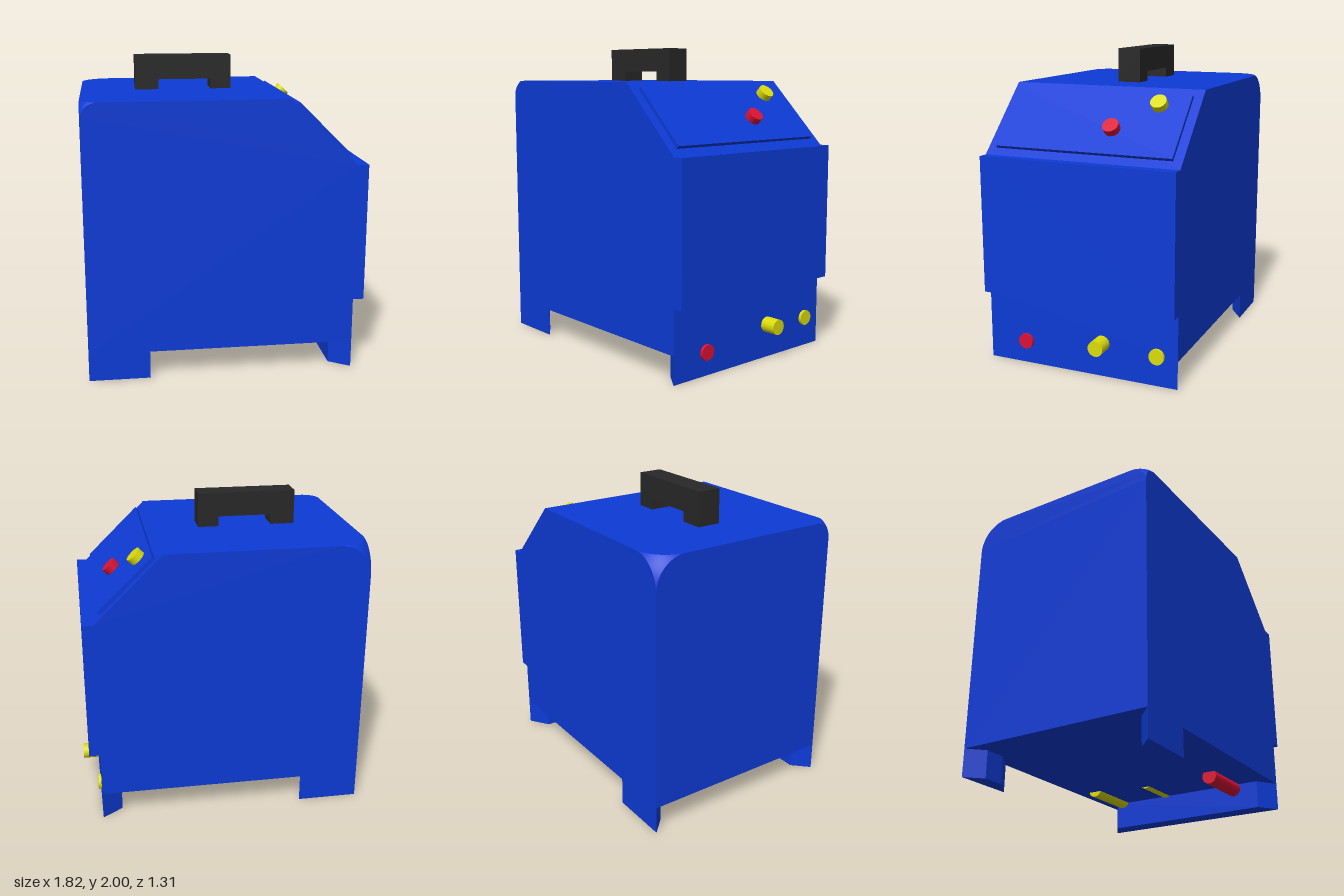
import * as THREE from 'three';
import { mergeGeometries } from 'three/addons/utils/BufferGeometryUtils.js';

const paint = (color) => new THREE.MeshStandardMaterial({ color });
const blue = paint(0x0d3bd6), red = paint(0xdc1234), yellow = paint(0xdcdc0c), black = paint(0x282828);

const LEFT = -0.91, TOP = 1.78, FLOOR = 0.18, HALF = 0.655;
const R_FRONT = 0.11, R_BACK = 0.2; // rounding of the two corners at the -x end
const V = (x, y, z) => new THREE.Vector3(x, y, z);
const X = V(1, 0, 0), Y = V(0, 1, 0), Z = V(0, 0, 1);

// Lower, right and sloping edges of the cabinet, counterclockwise
const PROFILE = [[LEFT, FLOOR], [0.8, FLOOR], [0.8, 0.47], [0.87, 0.47], [0.87, 1.36], [0.8, 1.36], [0.37, TOP]];

function mesh(name, geometry, material) {
  const m = new THREE.Mesh(geometry, material);
  m.name = name;
  return m;
}

const shapeOf = (pts) => new THREE.Shape(pts.map(([x, y]) => new THREE.Vector2(x, y)));

// Flat face from 2D points in the plane spanned by u and v, facing u x v
function face(pts, origin, u, v) {
  const g = new THREE.ShapeGeometry(shapeOf(pts));
  const m = new THREE.Matrix4().makeBasis(u, v, u.clone().cross(v)).setPosition(origin);
  return g.applyMatrix4(m);
}

function arc(cx, cy, r, a0, a1, n = 16) {
  return Array.from({ length: n + 1 }, (_, i) => {
    const a = a0 + ((a1 - a0) * i) / n;
    return [cx + r * Math.cos(a), cy + r * Math.sin(a)];
  });
}

// Spherical patch that joins the three rounded faces at a corner; s is the side in z
function cornerPatch(r, s) {
  const n = 16, g = new THREE.PlaneGeometry(1, 1, n, n);
  const pos = g.attributes.position, nor = g.attributes.normal, uv = g.attributes.uv;
  const centre = V(LEFT + r, TOP - r, s * (HALF - r));
  for (let i = 0; i < pos.count; i++) {
    const u = s > 0 ? uv.getX(i) : 1 - uv.getX(i);
    const h = r * Math.sin((uv.getY(i) * Math.PI) / 2);
    const rho = Math.sqrt(2 * r * r - h * h);
    const a0 = Math.acos(Math.min(1, r / rho));
    const a = a0 + u * (Math.PI / 2 - 2 * a0);
    const d = V(-rho * Math.cos(a), h, s * rho * Math.sin(a));
    const p = d.clone().add(centre);
    d.normalize();
    pos.setXYZ(i, p.x, p.y, p.z);
    nor.setXYZ(i, d.x, d.y, d.z);
  }
  return g;
}

function cabinet() {
  const { PI } = Math;
  const side = (r) => [...PROFILE, ...arc(LEFT + r, TOP - r, r, PI / 2, PI)];
  const parts = [
    face(side(R_FRONT), V(0, 0, HALF), X, Y),
    face(side(R_BACK).map(([x, y]) => [-x, y]), V(0, 0, -HALF), X.clone().negate(), Y),
    // -x end, drawn in z and y
    face([[-HALF, FLOOR], [HALF, FLOOR],
      ...arc(HALF - R_FRONT, TOP - R_FRONT, R_FRONT, 0, PI / 2),
      ...arc(-HALF + R_BACK, TOP - R_BACK, R_BACK, PI / 2, PI)], V(LEFT, 0, 0), Z, Y),
    // top, drawn in x and -z
    face([[0.37, -HALF], [0.37, HALF],
      ...arc(LEFT + R_BACK, HALF - R_BACK, R_BACK, PI / 2, PI),
      ...arc(LEFT + R_FRONT, -HALF + R_FRONT, R_FRONT, PI, 1.5 * PI)], V(0, TOP, 0), X, Z.clone().negate()),
    cornerPatch(R_FRONT, 1),
    cornerPatch(R_BACK, -1),
  ];
  // underside, steps and slope
  for (let i = 0; i < PROFILE.length - 1; i++) {
    const a = V(...PROFILE[i], 0), d = V(...PROFILE[i + 1], 0).sub(a);
    const len = d.length();
    parts.push(face([[0, -HALF], [len, -HALF], [len, HALF], [0, HALF]], a, d.normalize(), Z));
  }
  return mergeGeometries(parts);
}

// Upright prism from a plan in x and z, standing on the ground
function foot(plan) {
  const g = new THREE.ExtrudeGeometry(shapeOf(plan.map(([x, z]) => [x, -z])), { depth: FLOOR, bevelEnabled: false });
  return g.rotateX(-Math.PI / 2);
}

export function createModel() {
  const model = new THREE.Group();
  model.name = 'portableMachine';
  model.add(mesh('cabinet', cabinet(), blue));

  // Feet: one tapered rail at the +x end, two corner feet at the other
  model.add(mesh('footRail', foot([[0.8, -HALF], [0.8, HALF], [0.67, 0.565], [0.67, -0.565]]), blue));
  for (const s of [1, -1]) {
    const plan = [[LEFT, s * HALF], [-0.52, s * HALF], [-0.67, s * 0.555], [-0.81, s * 0.555]];
    model.add(mesh(s > 0 ? 'frontFoot' : 'backFoot', foot(plan), blue));
  }

  // Carrying handle
  const grip = shapeOf([[-0.555, TOP], [-0.4, TOP], [-0.4, 1.845], [-0.055, 1.845],
    [-0.055, TOP], [0.08, TOP], [0.08, 2], [-0.555, 2]]);
  const handle = mesh('handle', new THREE.ExtrudeGeometry(grip, { depth: 0.155, bevelEnabled: false }), black);
  handle.position.z = -0.097;
  model.add(handle);

  // Control panel on the slope: local x runs down the slope, local y points out
  const controls = new THREE.Group();
  controls.name = 'controlPanel';
  controls.position.set(0.603, 1.585, 0);
  controls.rotation.z = -Math.atan2(0.42, 0.43);
  const plate = mesh('panelPlate', new THREE.BoxGeometry(0.48, 0.04, 1.19), blue);
  plate.position.y = -0.02;
  controls.add(plate);
  for (const [name, t, z, material] of [['yellowButton', -0.143, -0.41, yellow], ['redButton', 0.057, -0.155, red]]) {
    const button = mesh(name, new THREE.CylinderGeometry(0.052, 0.052, 0.07, 32), material);
    button.position.set(t, 0.011, z);
    controls.add(button);
  }
  model.add(controls);

  // Pipes through the lower +x face
  for (const [name, x0, x1, y, z, material] of [
    ['redPipe', 0.305, 0.82, 0.15, 0.39, red],
    ['middlePipe', 0.385, 0.905, 0.22, -0.15, yellow],
    ['backPipe', 0.3, 0.82, 0.195, -0.52, yellow],
  ]) {
    const pipe = mesh(name, new THREE.CylinderGeometry(0.05, 0.05, x1 - x0, 32), material);
    pipe.rotation.z = -Math.PI / 2;
    pipe.position.set((x0 + x1) / 2, y, z);
    model.add(pipe);
  }
  return model;
}
